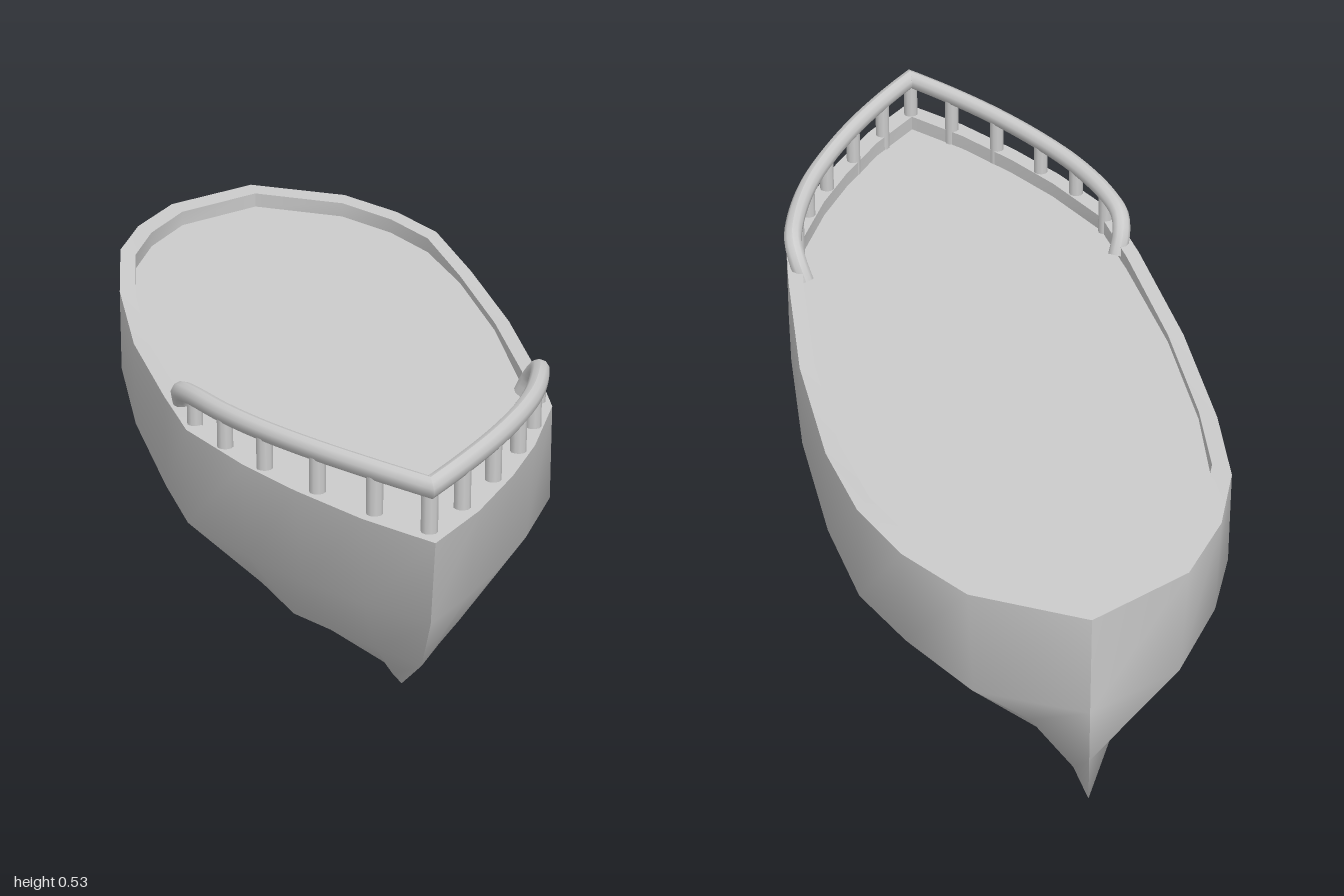
import * as THREE from 'three';

const material = new THREE.MeshStandardMaterial({ color: 0xcccccc });

// Long lines of the left half of the hull, bow to stern, as [x, y, z]
const sheer = [[0, .43, 1], [.10, .43, .88], [.19, .43, .74], [.26, .43, .61], [.335, .43, .43], [.352, .427, .25],
  [.37, .415, -.07], [.362, .415, -.38], [.335, .43, -.6], [.28, .43, -.75], [.19, .43, -.89], [0, .43, -1]];
const chine = [[0, .27, .97], [.09, .26, .85], [.175, .25, .72], [.25, .25, .6], [.335, .25, .43], [.352, .25, .25],
  [.37, .25, -.07], [.362, .25, -.38], [.335, .25, -.6], [.275, .25, -.75], [.18, .23, -.89], [0, .24, -1]];
const bilge = [[0, .16, .9], [.055, .14, .78], [.115, .13, .67], [.165, .12, .57], [.2, .12, .43], [.21, .12, .25],
  [.212, .12, -.07], [.21, .12, -.38], [.2, .12, -.6], [.16, .13, -.75], [.08, .15, -.88], [0, .14, -1]];
const keel = [[0, .045, .73], [0, .025, .65], [0, .01, .57], [0, .003, .48], [0, 0, .38], [0, 0, .22],
  [0, 0, -.07], [0, 0, -.38], [0, 0, -.6], [0, 0, -.75], [0, .03, -.87], [0, .06, -1]];

const mirror = (line) => line.map(([x, y, z]) => [-x, y, z]);
const inset = (line, y) => line.map((p) => [p[0] * .92, y ?? p[1], p[2] * .935]);

// Smooth surface spanned between neighbouring long lines
function skin(name, lines) {
  const n = lines[0].length, index = [];
  for (let j = 0; j < lines.length - 1; j++) {
    for (let i = 0; i < n - 1; i++) {
      const a = j * n + i, b = a + n;
      index.push(a, b, a + 1, a + 1, b, b + 1);
    }
  }
  const geometry = new THREE.BufferGeometry();
  geometry.setAttribute('position', new THREE.Float32BufferAttribute(lines.flat(2), 3));
  geometry.setIndex(index);
  geometry.computeVertexNormals();
  const mesh = new THREE.Mesh(geometry, material);
  mesh.name = name;
  return mesh;
}

// Half of the bow handrail, cut flat on the centre plane so both halves meet in a sharp V
function railHalf(side) {
  const path = new THREE.CatmullRomCurve3([
    [-.03, .511, .99], [0, .511, .955], [.075, .509, .86], [.153, .505, .75], [.225, .499, .63], [.278, .493, .52],
    [.318, .483, .4], [.331, .468, .335], [.326, .44, .3], [.315, .405, .285],
  ].map((p) => new THREE.Vector3(...p)), false, 'centripetal');
  const geometry = new THREE.TubeGeometry(path, 48, .018, 10);
  const pos = geometry.attributes.position;
  for (let i = 0; i < pos.count; i++) {
    if (pos.getX(i) < 0) {
      // slide back along the rail direction onto the centre plane
      pos.setZ(i, pos.getZ(i) + pos.getX(i) * 1.2);
      pos.setX(i, 0);
    }
    pos.setX(i, pos.getX(i) * side);
  }
  if (side < 0) {
    const ix = geometry.index;
    for (let i = 0; i < ix.count; i += 3) {
      const a = ix.getX(i);
      ix.setX(i, ix.getX(i + 1));
      ix.setX(i + 1, a);
    }
  }
  geometry.computeVertexNormals();
  const mesh = new THREE.Mesh(geometry, material);
  mesh.name = side > 0 ? 'leftHandrail' : 'rightHandrail';
  return mesh;
}

export function createModel() {
  const model = new THREE.Group();
  model.name = 'boat';

  // Hull shell with a V bottom and pointed ends
  model.add(skin('hull', [sheer, chine, bilge, keel, mirror(bilge), mirror(chine), mirror(sheer)]));

  // Rim, low bulwark and deck
  const rim = inset(sheer), edge = inset(sheer, .4);
  model.add(
    skin('leftRim', [rim, sheer]),
    skin('rightRim', [mirror(sheer), mirror(rim)]),
    skin('leftBulwark', [edge, rim]),
    skin('rightBulwark', [mirror(rim), mirror(edge)]),
    skin('deck', [mirror(edge), edge]),
  );

  // Bow railing
  const railing = new THREE.Group();
  railing.name = 'bowRailing';
  railing.add(railHalf(1), railHalf(-1));
  const posts = [[0, .95, .505], [.075, .86, .505], [.153, .75, .5], [.225, .63, .495], [.278, .52, .488], [.315, .4, .48]];
  for (const [x, z, top] of posts) {
    for (const side of x ? [1, -1] : [1]) {
      const post = new THREE.Mesh(new THREE.CylinderGeometry(.0145, .0145, top - .4, 10), material);
      post.position.set(x * side, (top + .4) / 2, z);
      post.name = 'railPost';
      railing.add(post);
    }
  }
  model.add(railing);
  return model;
}
